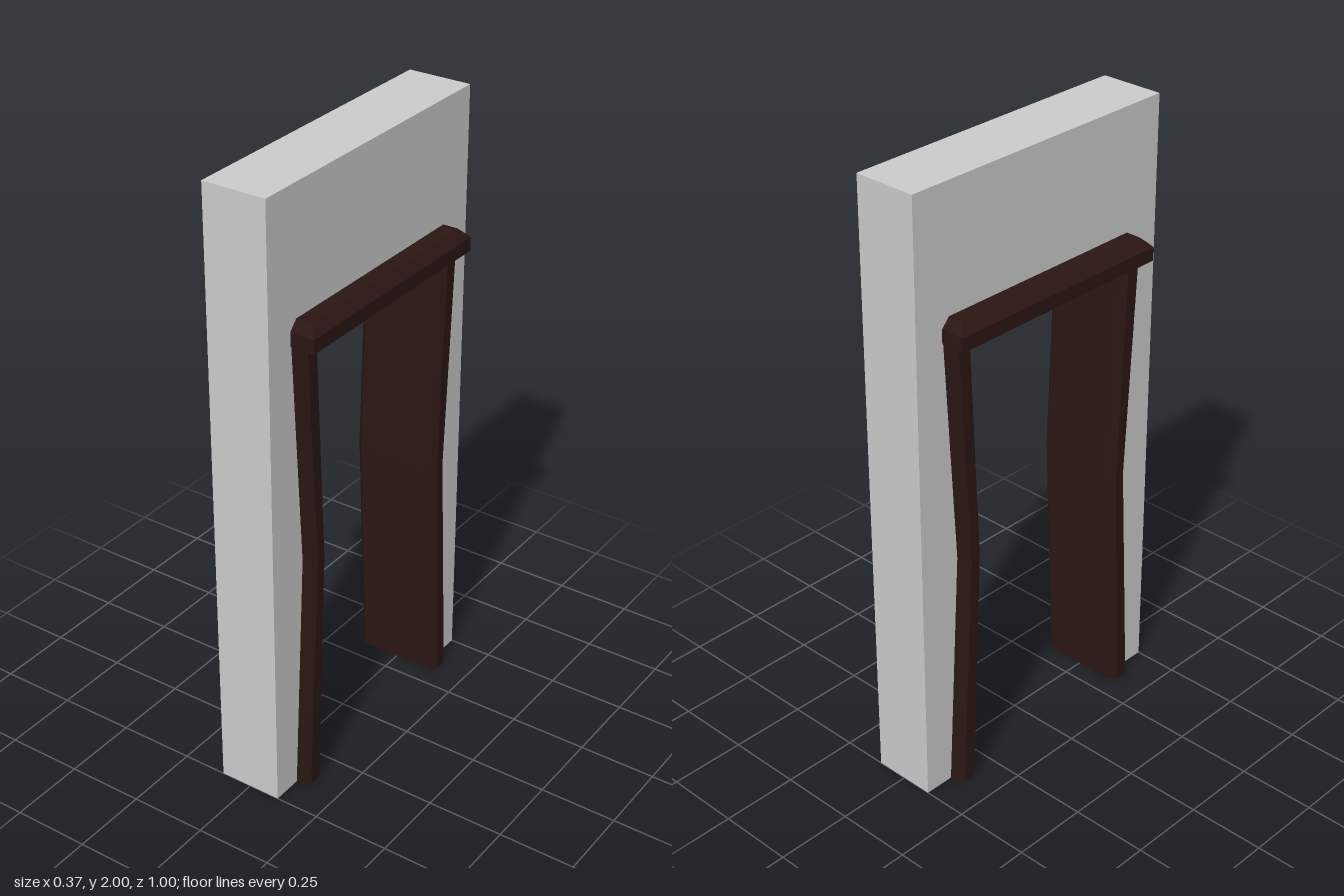
import * as THREE from 'three';

const grey = new THREE.MeshStandardMaterial({ color: 0xcccccc, flatShading: true });
const dark = new THREE.MeshStandardMaterial({ color: 0x2b1613, flatShading: true });

// Joins equal cross-sections (arrays of [x, y, z], counter-clockwise seen from above) from bottom to top
function loft(rings) {
  const n = rings[0].length, index = [];
  for (let r = 0; r < rings.length - 1; r++) {
    for (let i = 0; i < n; i++) {
      const a = r * n + i, b = r * n + (i + 1) % n;
      index.push(a, b, b + n, a, b + n, a + n);
    }
  }
  const top = (rings.length - 1) * n;
  for (let i = 1; i < n - 1; i++) {
    index.push(0, i + 1, i, top, top + i, top + i + 1);
  }
  const geo = new THREE.BufferGeometry();
  geo.setAttribute('position', new THREE.Float32BufferAttribute(rings.flat(2), 3));
  geo.setIndex(index);
  const flat = geo.toNonIndexed();
  flat.computeVertexNormals();
  return flat;
}

// Rectangle with corners cut by c
function section(y, halfX, zMin, zMax, c) {
  return [
    [halfX, y, zMax - c], [halfX, y, zMin + c], [halfX - c, y, zMin], [-halfX + c, y, zMin],
    [-halfX, y, zMin + c], [-halfX, y, zMax - c], [-halfX + c, y, zMax], [halfX - c, y, zMax],
  ];
}

const rect = (y, x, z) => [[x, y, z], [x, y, -z], [-x, y, -z], [-x, y, z]];

export function createModel() {
  const group = new THREE.Group();
  const add = (name, geo, mat) => {
    const mesh = new THREE.Mesh(geo, mat);
    mesh.name = name;
    group.add(mesh);
    return mesh;
  };

  // Wall slab with a doorway whose sides follow the bent jambs
  const outline = new THREE.Shape([
    [-0.5, 0], [-0.36, 0], [-0.32, 0.8], [-0.36, 1.56], [0.36, 1.56],
    [0.32, 0.8], [0.36, 0], [0.5, 0], [0.5, 2], [-0.5, 2],
  ].map(([z, y]) => new THREE.Vector2(z, y)));
  const wall = new THREE.ExtrudeGeometry(outline, { depth: 0.21, bevelEnabled: false });
  wall.translate(0, 0, -0.105).rotateY(Math.PI / 2);
  add('wall', wall, grey);

  // Jambs, pinched inwards at mid height
  const jamb = loft([
    section(0, 0.147, 0.32, 0.4, 0.018),
    section(0.8, 0.147, 0.287, 0.356, 0.018),
    section(1.55, 0.147, 0.319, 0.398, 0.018),
  ]);
  add('frontJamb', jamb, dark);
  add('backJamb', jamb, dark).rotation.y = Math.PI;

  // Lintel with a chamfered top edge
  add('lintel', loft([rect(1.525, 0.185, 0.4), rect(1.57, 0.185, 0.4), rect(1.6, 0.155, 0.372)]), dark);

  return group;
}
